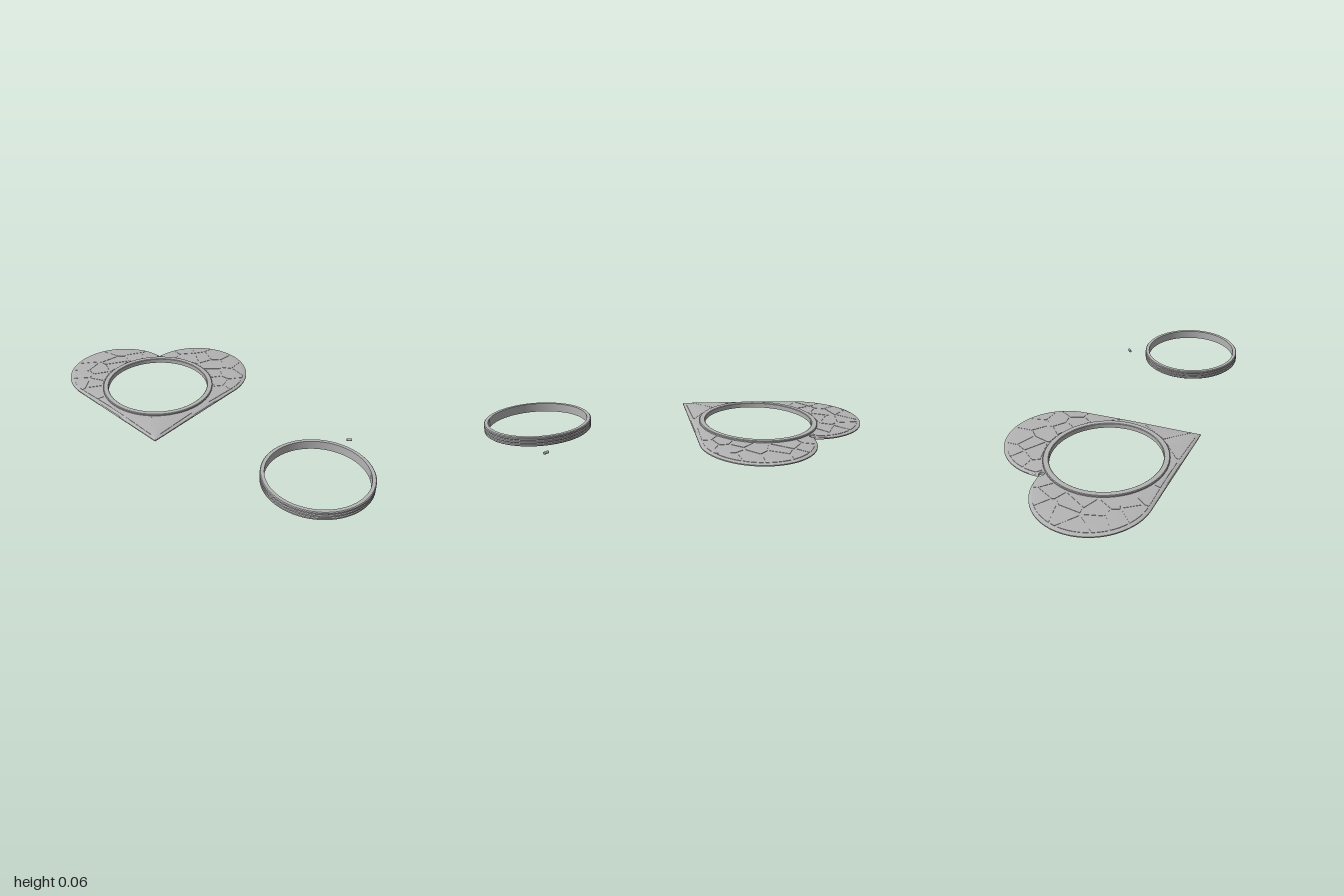
import * as THREE from 'three';
import { toCreasedNormals, mergeGeometries } from 'three/addons/utils/BufferGeometryUtils.js';

const CENTER = [-0.348, -0.435]; // middle of the round opening (x, z)
const TIP = [0, 0.655], LOBE = [0.282, -0.195], LOBE_R = 0.37;
const INNER = 0.385, HOLE_D = 0.418, HOLE_R = 0.018;
// Heart top surface: fraction from opening to edge, and height
const ROWS = [[1, 0.007], [0.95, 0.012], [0.8, 0.016], [0.5, 0.019], [0, 0.021]];

// Straight flank: the line from the tip that touches the lobe circle
const tx = TIP[0] - LOBE[0], tz = TIP[1] - LOBE[1];
const flank = Math.atan2(tz, tx) - Math.acos(LOBE_R / Math.hypot(tx, tz));
const N = [Math.cos(flank), Math.sin(flank)];
const touch = Math.atan2(LOBE[0] + LOBE_R * N[0], -(LOBE[1] + LOBE_R * N[1]));

// Heart outline radius at angle a, measured from the notch
function outline(a) {
  const t = Math.abs(Math.atan2(Math.sin(a), Math.cos(a)));
  const dx = Math.sin(t), dz = -Math.cos(t);
  if (t > touch) return (N[0] * TIP[0] + N[1] * TIP[1]) / (N[0] * dx + N[1] * dz);
  const b = dx * LOBE[0] + dz * LOBE[1];
  return b + Math.sqrt(b * b - LOBE[0] ** 2 - LOBE[1] ** 2 + LOBE_R ** 2);
}

function topHeight(x, z) {
  const r = Math.hypot(x, z), out = outline(Math.atan2(x, -z));
  const f = THREE.MathUtils.clamp((r - INNER) / (out - INNER), 0, 1);
  for (let i = 1; i < ROWS.length; i++) {
    const [f0, h0] = ROWS[i - 1], [f1, h1] = ROWS[i];
    if (f >= f1) return h1 + (h0 - h1) * (f - f1) / (f0 - f1);
  }
  return ROWS[0][1];
}

function makeGeometry(pos, index, crease) {
  const g = new THREE.BufferGeometry();
  g.setAttribute('position', new THREE.Float32BufferAttribute(pos, 3));
  g.setIndex(index);
  return toCreasedNormals(g, crease);
}

// Closed cross-section swept from angle a0 to a1 between two radius rules
function sweep(a0, a1, n, inner, outer) {
  const pos = [], index = [], k = ROWS.length + 2;
  for (let i = 0; i <= n; i++) {
    const a = a0 + (a1 - a0) * i / n, r0 = inner(a), r1 = outer(a);
    const add = (r, y) => pos.push(Math.sin(a) * r, y, -Math.cos(a) * r);
    add(r0, 0);
    add(r1, 0);
    for (const [f] of ROWS) {
      const r = r0 + (r1 - r0) * f;
      add(r, topHeight(Math.sin(a) * r, -Math.cos(a) * r));
    }
    if (i === n) break;
    for (let j = 0; j < k; j++) {
      const p = i * k + j, q = i * k + (j + 1) % k;
      index.push(p, q, p + k, p + k, q, q + k);
    }
  }
  return makeGeometry(pos, index, 0.5);
}

// Keep the part of a polygon where nx*x + nz*z <= c
function clip(poly, nx, nz, c) {
  const out = [];
  poly.forEach((p, i) => {
    const q = poly[(i + 1) % poly.length];
    const dp = nx * p[0] + nz * p[1] - c, dq = nx * q[0] + nz * q[1] - c;
    if (dp <= 0) out.push(p);
    if (dp * dq < 0) {
      const t = dp / (dp - dq);
      out.push([p[0] + (q[0] - p[0]) * t, p[1] + (q[1] - p[1]) * t]);
    }
  });
  return out;
}

// Low raised stone following the heart's surface
function stone(poly) {
  const n = poly.length, pos = [], index = [];
  const cx = poly.reduce((s, p) => s + p[0], 0) / n;
  const cz = poly.reduce((s, p) => s + p[1], 0) / n;
  for (const [x, z] of poly) {
    pos.push(x, 0.005, z, x, topHeight(x, z) + 0.0025, z);
  }
  pos.push(cx, topHeight(cx, cz) + 0.003, cz);
  for (let i = 0; i < n; i++) {
    const a = 2 * i, b = 2 * ((i + 1) % n);
    index.push(a, a + 1, b, b, a + 1, b + 1, 2 * n, b + 1, a + 1);
  }
  return makeGeometry(pos, index, 0.5);
}

function cobbles() {
  let seed = 7;
  const rand = () => (seed = (seed * 16807) % 2147483647) / 2147483647;
  const list = [];
  for (const side of [1, -1]) {
    let half = [];
    for (let i = 0; i <= 60; i++) {
      const a = Math.PI * i / 60, r = outline(a) - 0.025;
      half.push([Math.sin(a) * r, -Math.cos(a) * r]);
    }
    half = clip(half, -1, 0, -0.03);
    // Scattered stone centres on a jittered grid
    const sites = [];
    for (let x = 0.07; x < 0.66; x += 0.115) {
      for (let z = -0.52; z < 0.5; z += 0.125) {
        const s = [x + (rand() - 0.5) * 0.09, z + (rand() - 0.5) * 0.09];
        const r = Math.hypot(...s);
        if (r > 0.405 && r < outline(Math.atan2(s[0], -s[1])) - 0.025) sites.push(s);
      }
    }
    for (const s of sites) {
      const r = Math.hypot(...s);
      let poly = clip(half, -s[0] / r, -s[1] / r, -0.4);
      for (const o of sites) {
        if (o === s) continue;
        const dx = o[0] - s[0], dz = o[1] - s[1], d = Math.hypot(dx, dz);
        const mid = (dx * (o[0] + s[0]) + dz * (o[1] + s[1])) / (2 * d);
        poly = clip(poly, dx / d, dz / d, mid - 0.007);
      }
      if (poly.length < 3) continue;
      list.push(stone(side > 0 ? poly : poly.map(([x, z]) => [-x, z]).reverse()));
    }
  }
  return mergeGeometries(list);
}

// Turned ring from a closed profile of [radius, height]
function turned(profile) {
  const pts = [...profile, profile[0]].map(([r, y]) => new THREE.Vector2(r, y));
  return toCreasedNormals(new THREE.LatheGeometry(pts, 96), 0.4);
}

export function createModel() {
  const model = new THREE.Group();
  const grey = new THREE.MeshStandardMaterial({ color: 0xb4b4b4 });
  grey.name = 'plain grey';
  const add = (parent, name, geometry) => {
    const mesh = new THREE.Mesh(geometry, grey);
    mesh.name = name;
    parent.add(mesh);
    return mesh;
  };

  // Heart frame with a small hanging hole below the notch
  const heart = new THREE.Group();
  heart.name = 'heartFrame';
  heart.position.set(CENTER[0], 0, CENTER[1]);
  model.add(heart);
  const w = Math.asin(HOLE_R / HOLE_D);
  const chord = (a) => Math.sqrt(Math.max(0, HOLE_R ** 2 - (HOLE_D * Math.sin(a)) ** 2));
  const near = (a) => HOLE_D * Math.cos(a) - chord(a);
  const far = (a) => Math.min(HOLE_D * Math.cos(a) + chord(a), outline(a) - 0.002);
  const opening = () => INNER;
  add(heart, 'heartPlate', mergeGeometries([
    sweep(w, 2 * Math.PI - w, 240, opening, outline),
    sweep(-w, w, 16, opening, near),
    sweep(-w, w, 16, far, outline),
  ]));
  add(heart, 'cobbleRelief', cobbles());
  add(heart, 'openingRim', turned([
    [0.355, 0], [0.393, 0], [0.393, 0.029], [0.389, 0.033], [0.359, 0.033], [0.355, 0.03],
  ]));

  // Loose ring with two grooves round its wall
  const ring = add(model, 'groovedRing', turned([
    [0.322, 0], [0.344, 0], [0.349, 0.005], [0.349, 0.015], [0.344, 0.02], [0.349, 0.025],
    [0.349, 0.035], [0.344, 0.04], [0.349, 0.045], [0.349, 0.054], [0.344, 0.059], [0.322, 0.059],
  ]));
  ring.position.set(0.645, 0, 0.645);

  // Loose pin lying on its side
  const pin = add(model, 'smallPin', new THREE.CylinderGeometry(0.009, 0.009, 0.032, 20));
  pin.rotation.z = Math.PI / 2;
  pin.position.set(0.915, 0.009, 0.245);

  return model;
}
